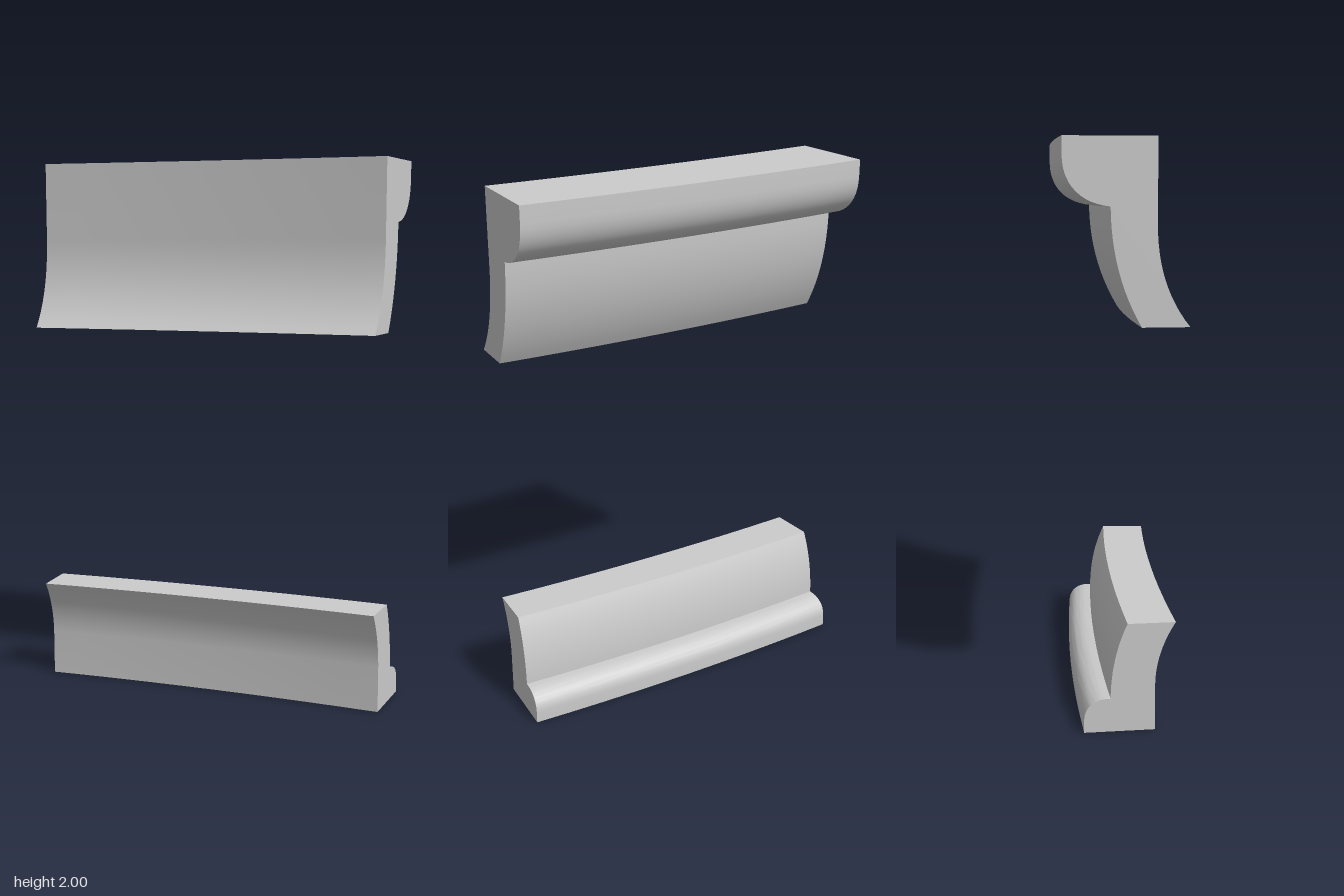
import * as THREE from 'three';
import { toCreasedNormals } from 'three/addons/utils/BufferGeometryUtils.js';

const AXIS_Z = 11.1; // vertical axis the mouldings curve around
const HALF_ANGLE = 0.06;

// Sweeps a (z, y) cross-section through a shallow arc around the axis
function sweep(shape, name) {
  const geometry = new THREE.ExtrudeGeometry(shape, {
    depth: 1, steps: 10, curveSegments: 12, bevelEnabled: false,
  });
  const p = geometry.attributes.position;
  for (let i = 0; i < p.count; i++) {
    const angle = (p.getZ(i) - 0.5) * 2 * HALF_ANGLE;
    const r = AXIS_Z - p.getX(i);
    p.setXYZ(i, -r * Math.sin(angle), p.getY(i), AXIS_Z - r * Math.cos(angle));
  }
  const mesh = new THREE.Mesh(
    toCreasedNormals(geometry, Math.PI / 6),
    new THREE.MeshStandardMaterial({ color: 0xcccccc }),
  );
  mesh.name = name;
  return mesh;
}

export function createModel() {
  const group = new THREE.Group();
  group.name = 'curvedMouldings';

  // Upper moulding: flared face with a large rounded lip behind
  const upper = new THREE.Shape();
  upper.moveTo(0.088, 2);
  upper.lineTo(0.088, 1.72);
  upper.quadraticCurveTo(0.088, 1.52, 0.198, 1.386);
  upper.lineTo(0.037, 1.386);
  upper.quadraticCurveTo(-0.064, 1.56, -0.066, 1.777);
  upper.bezierCurveTo(-0.155, 1.785, -0.223, 1.84, -0.223, 1.94);
  upper.lineTo(-0.223, 2);
  upper.closePath();
  group.add(sweep(upper, 'upperMoulding'));

  // Lower moulding: flared face with a small rounded foot behind
  const lower = new THREE.Shape();
  lower.moveTo(0.088, 0);
  lower.lineTo(0.088, 0.17);
  lower.quadraticCurveTo(0.092, 0.28, 0.158, 0.381);
  lower.lineTo(-0.008, 0.381);
  lower.quadraticCurveTo(-0.064, 0.265, -0.066, 0.118);
  lower.lineTo(-0.09, 0.117);
  lower.bezierCurveTo(-0.125, 0.112, -0.156, 0.09, -0.157, 0.045);
  lower.lineTo(-0.157, 0);
  lower.closePath();
  group.add(sweep(lower, 'lowerMoulding'));

  return group;
}
